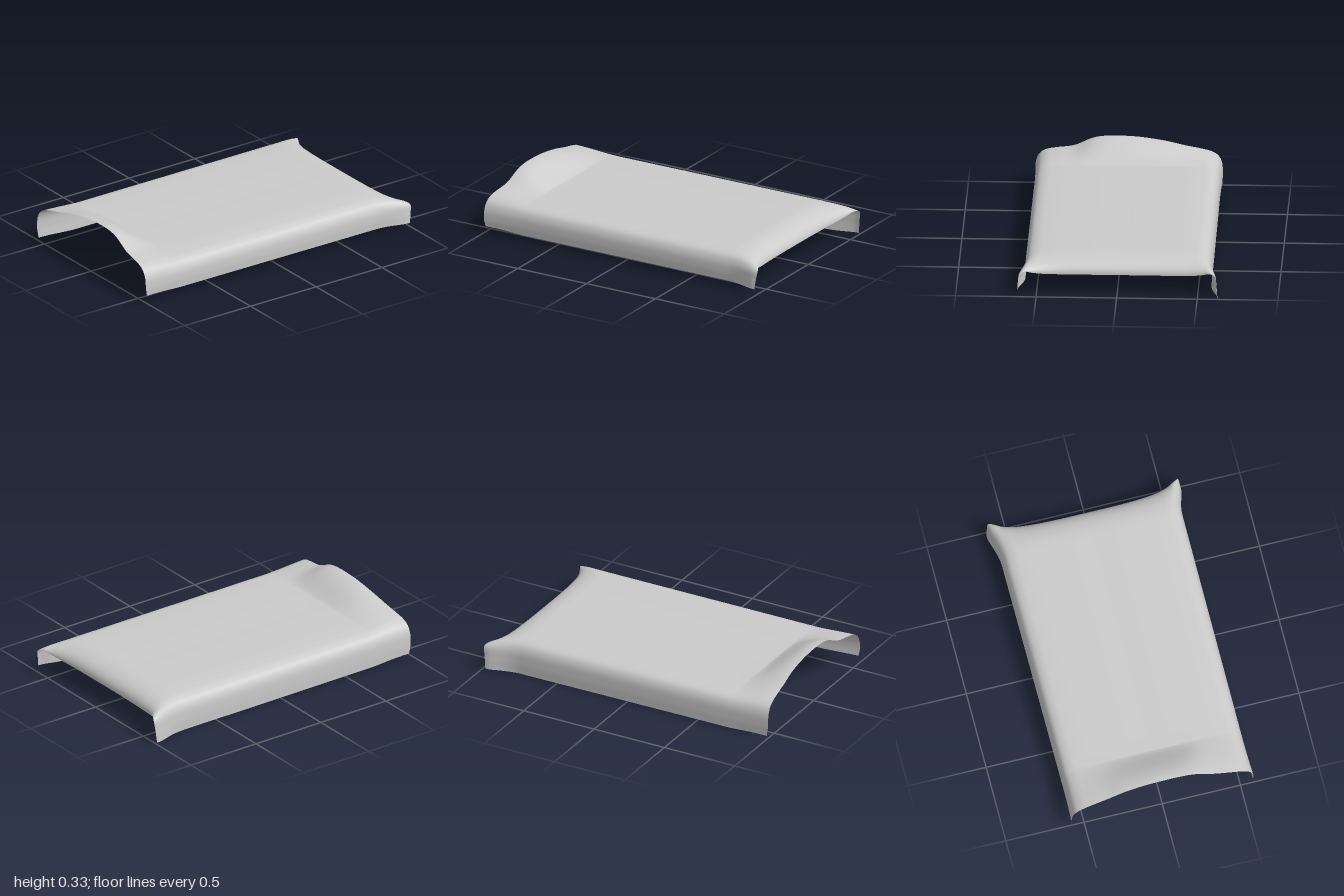
import * as THREE from 'three';

// Cross-sections of the draped sheet, from the front hem over the top to the back hem.
// Each row: middle z, y | left end x, y | right end x, y, z
const SECTION = [
  [0.575, 0.04, -0.99, 0.05, 0.985, 0.04, 0.618],
  [0.578, 0.10, -1.0, 0.10, 0.993, 0.10, 0.613],
  [0.572, 0.155, -1.0, 0.158, 1.0, 0.155, 0.603],
  [0.550, 0.195, -0.998, 0.203, 0.985, 0.165, 0.572],
  [0.510, 0.215, -0.995, 0.230, 0.963, 0.150, 0.525],
  [0.450, 0.222, -0.990, 0.244, 0.945, 0.137, 0.450],
  [0.340, 0.226, -0.980, 0.264, 0.934, 0.132, 0.340],
  [0.200, 0.228, -0.972, 0.324, 0.929, 0.130, 0.200],
  [0.000, 0.228, -0.970, 0.333, 0.928, 0.130, 0.000],
  [-0.200, 0.228, -0.972, 0.308, 0.929, 0.130, -0.200],
  [-0.340, 0.226, -0.982, 0.273, 0.934, 0.132, -0.340],
  [-0.450, 0.222, -0.990, 0.248, 0.945, 0.137, -0.450],
  [-0.510, 0.215, -0.995, 0.230, 0.963, 0.150, -0.525],
  [-0.550, 0.195, -0.998, 0.203, 0.985, 0.165, -0.572],
  [-0.572, 0.155, -1.0, 0.158, 1.0, 0.155, -0.603],
  [-0.578, 0.085, -1.0, 0.085, 0.993, 0.085, -0.613],
  [-0.575, 0.005, -0.99, 0.018, 0.985, 0.005, -0.618],
];
const LEFT_X = -0.72, RIGHT_X = 0.74, COLS = 112;

const curveOf = (fn) => new THREE.CatmullRomCurve3(SECTION.map((r) => new THREE.Vector3(...fn(r))));
const middle = curveOf(([z, y]) => [0, y, z]);
const leftEnd = curveOf(([z, , x, y]) => [x, y, z * 1.012]);
const rightEnd = curveOf(([, , , , x, y, z]) => [x, y, z]);

// Point on the sheet: zone -1 is the raised left end, 0 the flat middle, 1 the rolled right end
function sheetPoint(zone, t, v) {
  const { lerp, smoothstep } = THREE.MathUtils;
  const m = middle.getPoint(v);
  const p = new THREE.Vector3();
  if (zone < 0) {
    const e = leftEnd.getPoint(v);
    const rise = Math.sin(t * Math.PI / 2) ** 1.3;
    p.set(lerp(LEFT_X, e.x, t), lerp(m.y, e.y, rise), lerp(m.z, e.z, t * t));
  } else if (zone > 0) {
    const e = rightEnd.getPoint(v);
    const a = t * Math.PI / 2;
    p.set(lerp(RIGHT_X, e.x, Math.sin(a)), lerp(m.y, e.y, (1 - Math.cos(a)) ** 1.15),
      lerp(m.z, e.z, smoothstep(t, 0.05, 0.75)));
  } else {
    p.set(lerp(LEFT_X, RIGHT_X, t), m.y, m.z);
  }
  // The back side spreads slightly towards the right end
  if (p.z < 0) p.z -= 0.006 * p.x * smoothstep(-p.z, 0.2, 0.55);
  return p;
}

function sheetGeometry() {
  const rows = [];
  for (let i = 24; i > 0; i--) rows.push([-1, i / 24]);
  for (let i = 0; i <= 16; i++) rows.push([0, i / 16]);
  for (let i = 1; i <= 28; i++) rows.push([1, i / 28]);

  const positions = [], index = [];
  rows.forEach(([zone, t], i) => {
    for (let j = 0; j <= COLS; j++) {
      positions.push(...sheetPoint(zone, t, j / COLS).toArray());
      if (i < rows.length - 1 && j < COLS) {
        const a = i * (COLS + 1) + j, b = a + COLS + 1;
        index.push(a, b, a + 1, b, b + 1, a + 1);
      }
    }
  });
  const geometry = new THREE.BufferGeometry();
  geometry.setAttribute('position', new THREE.Float32BufferAttribute(positions, 3));
  geometry.setIndex(index);
  geometry.computeVertexNormals();
  return geometry;
}

export function createModel() {
  const group = new THREE.Group();
  group.name = 'blanket';
  const material = new THREE.MeshStandardMaterial({ color: 0xcccccc, side: THREE.DoubleSide });
  const sheet = new THREE.Mesh(sheetGeometry(), material);
  sheet.name = 'drapedSheet';
  group.add(sheet);
  return group;
}
